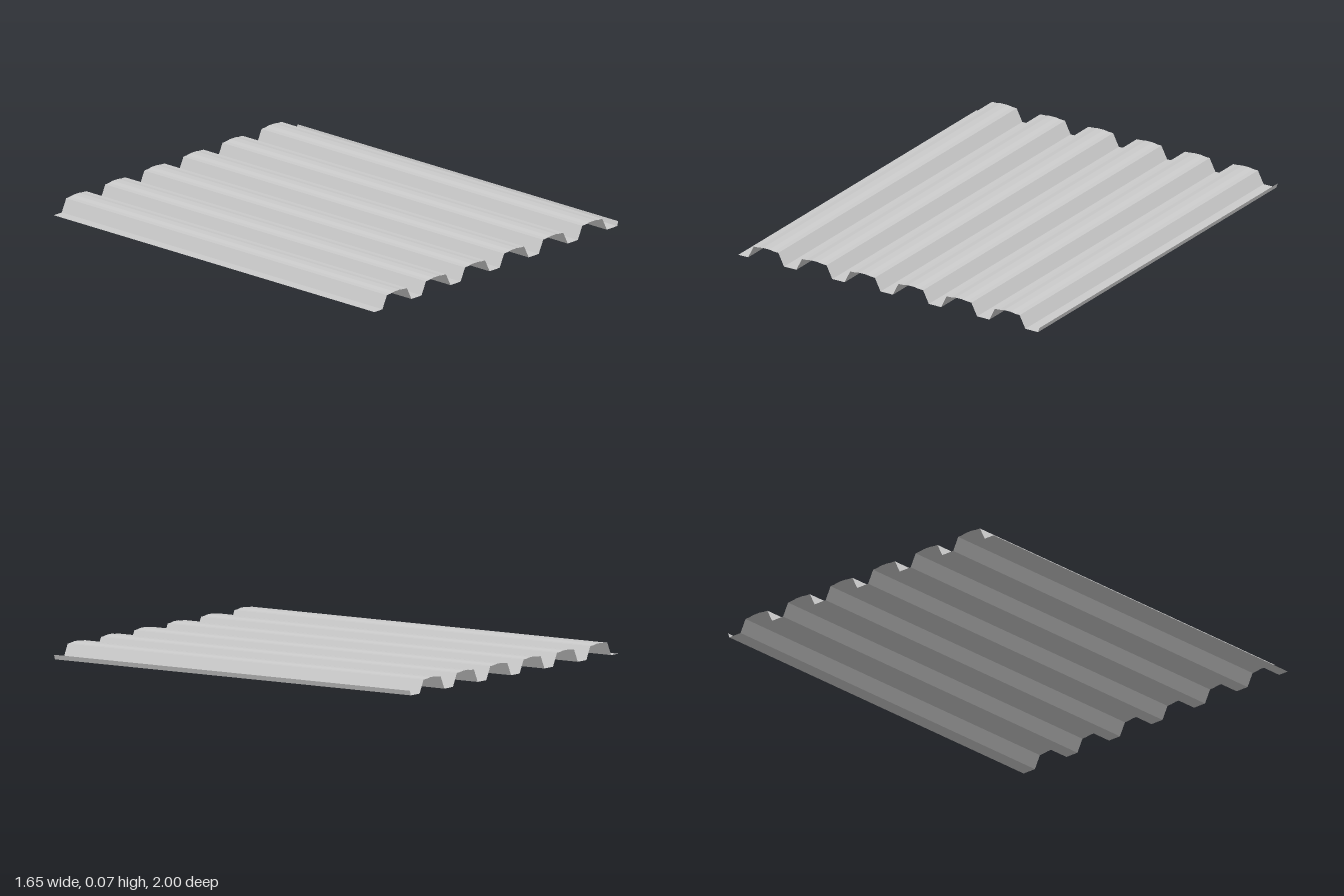
import * as THREE from 'three';

const RIBS = 6, PITCH = 0.264, FIRST_RIB = -0.77, LENGTH = 2;

// One rib as [offset x, y]: rising web, crest with shallow stiffening folds, falling web
const RIB = [
  [0, 0], [0.03, 0.061], [0.053, 0.062], [0.08, 0.066],
  [0.115, 0.066], [0.142, 0.062], [0.165, 0.061], [0.196, 0],
];

// Cross-section of the whole sheet from -x to +x
function sheetProfile() {
  const points = [[-0.824, 0]];
  for (let i = 0; i < RIBS; i++) {
    for (const [x, y] of RIB) points.push([FIRST_RIB + i * PITCH + x, y]);
  }
  // right flange with a small upturned lip
  points.push([0.816, 0], [0.823, 0.022]);
  return points;
}

export function createModel() {
  const group = new THREE.Group();
  group.name = 'corrugatedSheet';

  // Fold a flat plane along the cross-section
  const profile = sheetProfile();
  const folded = new THREE.PlaneGeometry(1, LENGTH, profile.length - 1, 1);
  folded.rotateX(-Math.PI / 2);
  const pos = folded.attributes.position;
  for (let i = 0; i < pos.count; i++) {
    const [x, y] = profile[i % profile.length];
    pos.setXYZ(i, x, y, pos.getZ(i));
  }
  const geometry = folded.toNonIndexed();
  geometry.computeVertexNormals();

  const sheet = new THREE.Mesh(geometry, new THREE.MeshStandardMaterial({
    color: 0xcccccc, flatShading: true, side: THREE.DoubleSide,
  }));
  sheet.name = 'ribbedSheet';
  group.add(sheet);
  return group;
}
